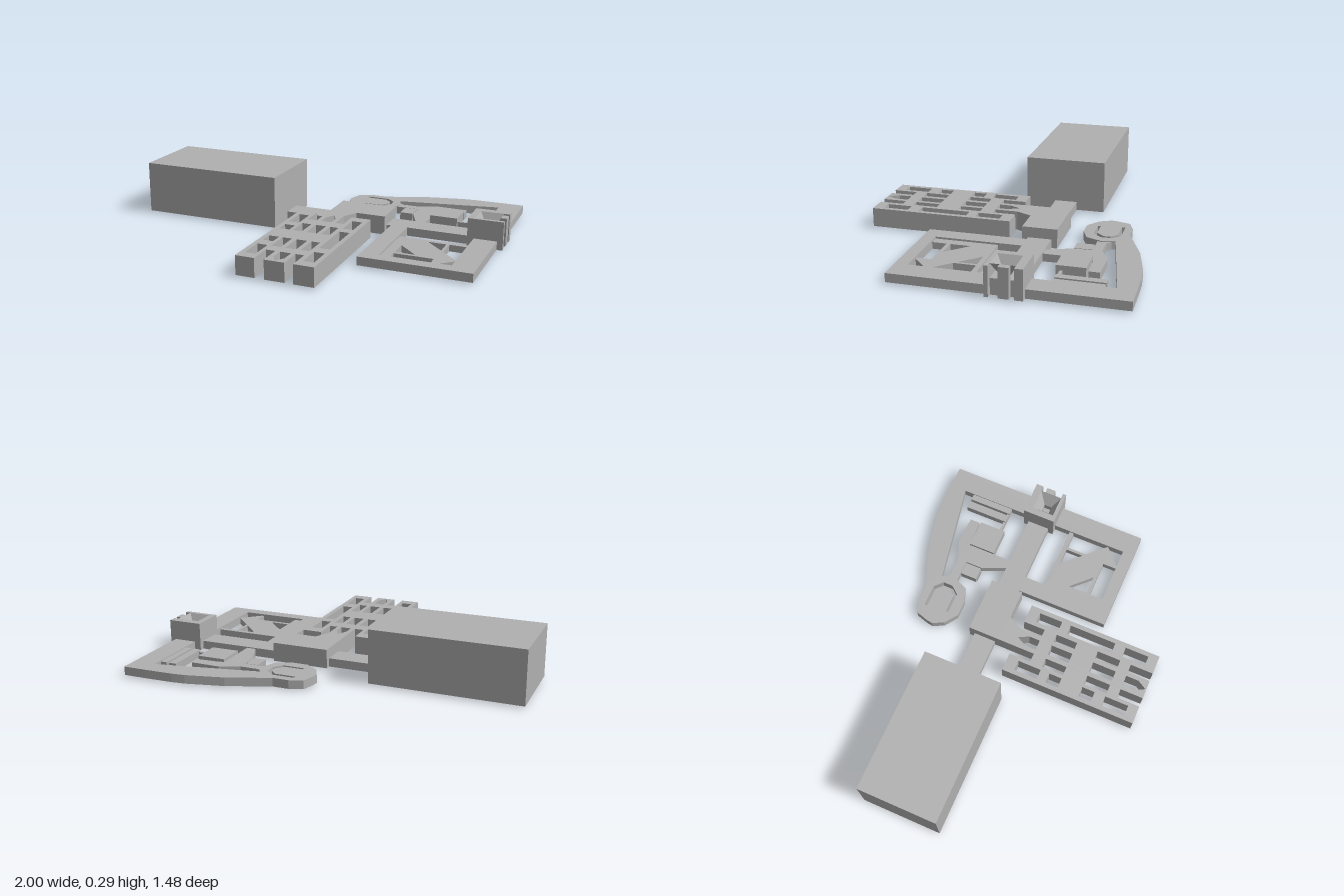
import * as THREE from 'three';

export function createModel() {
  const root = new THREE.Group();
  const grey = new THREE.MeshStandardMaterial({ color: 0xb0b0b0, side: THREE.DoubleSide });
  grey.name = 'plain grey';
  const LOW = 0.01, THIN = 0.055, TALL = 0.11;

  const add = (name, geo, parent = root) => {
    const m = new THREE.Mesh(geo, grey);
    m.name = name;
    parent.add(m);
    return m;
  };
  // Plan-view outlines are [x, z] pairs, raised from y0 to y1
  const plate = (name, pts, y0, y1, holes = [], parent = root) => {
    const v = (p) => p.map(([x, z]) => new THREE.Vector2(x, -z));
    const shape = new THREE.Shape(v(pts));
    shape.holes = holes.map((h) => new THREE.Path(v(h)));
    const geo = new THREE.ExtrudeGeometry(shape, { depth: y1 - y0, bevelEnabled: false });
    geo.rotateX(-Math.PI / 2).translate(0, y0, 0);
    return add(name, geo, parent);
  };
  const rect = (x0, x1, z0, z1) => [[x0, z0], [x1, z0], [x1, z1], [x0, z1]];
  const block = (name, x0, x1, z0, z1, y0, y1, parent = root) =>
    add(name, new THREE.BoxGeometry(x1 - x0, y1 - y0, z1 - z0)
      .translate((x0 + x1) / 2, (y0 + y1) / 2, (z0 + z1) / 2), parent);

  // Large block and the spine that carries everything
  block('mainBlock', -1, -0.215, -0.39, 0.04, LOW, 0.29);
  block('spineLeft', -0.215, 0.06, -0.24, -0.12, LOW, THIN);
  block('spineRight', 0.365, 0.81, -0.24, -0.12, LOW, THIN);
  block('hubBlock', 0.06, 0.365, -0.27, -0.09, LOW, TALL);
  plate('neck', [[0.06, -0.09], [0.205, -0.09], [0.165, -0.01], [0.06, -0.01]], LOW, TALL);

  // Three-rail ladder
  const ladder = new THREE.Group();
  ladder.name = 'ladder';
  root.add(ladder);
  const rail = (name, x0, x1, holes) => plate(name, rect(x0, x1, -0.01, 0.735), LOW, TALL, holes, ladder);
  rail('rightRail', -0.09, 0.01,
    [[0.05, 0.18], [0.23, 0.3], [0.42, 0.49], [0.55, 0.68]].map(([a, b]) => rect(-0.065, -0.01, a, b)));
  rail('leftRail', 0.21, 0.315,
    [[0.05, 0.18], [0.23, 0.49], [0.55, 0.68]].map(([a, b]) => rect(0.235, 0.29, a, b)));
  rail('middleRail', 0.06, 0.165, [
    [[0.085, 0.11], [0.085, 0.05], [0.113, -0.005], [0.142, 0.05], [0.142, 0.11]],
    rect(0.085, 0.142, 0.18, 0.3),
    rect(0.085, 0.142, 0.42, 0.55),
    [[0.085, 0.61], [0.142, 0.61], [0.142, 0.68], [0.113, 0.73], [0.085, 0.68]],
  ]);
  for (const [z0, z1] of [[0.11, 0.18], [0.3, 0.42], [0.55, 0.61]])
    for (const [x0, x1] of [[0.01, 0.06], [0.165, 0.21]])
      block('rung', x0, x1, z0, z1, LOW, TALL, ladder);

  // Front frame and long side bar
  block('frameInnerLeg', 0.39, 0.48, -0.12, 0.39, LOW, THIN);
  block('frameFrontBar', 0.48, 0.845, 0.325, 0.39, LOW, THIN);
  block('sideBar', 0.845, 0.965, -0.745, 0.39, LOW, THIN);

  // Arrow held inside the frame by thin ties
  const arrow = new THREE.Group();
  arrow.name = 'arrowPanel';
  root.add(arrow);
  plate('arrow', [[0.51, 0.025], [0.64, 0.025], [0.845, 0.235], [0.75, 0.325], [0.75, 0.23],
    [0.635, 0.23], [0.53, 0.125], [0.51, 0.125]], LOW, 0.045, [], arrow);
  block('tieSide', 0.48, 0.515, 0, 0.325, LOW, 0.045, arrow);
  block('tieBack', 0.515, 0.845, 0, 0.025, LOW, 0.045, arrow);
  block('tieLower', 0.515, 0.75, 0.23, 0.25, LOW, 0.045, arrow);
  block('tieLeft', 0.515, 0.53, 0.125, 0.325, LOW, 0.045, arrow);
  block('tieUpright', 0.735, 0.75, 0.025, 0.14, LOW, 0.045, arrow);
  block('tieFoot', 0.735, 0.75, 0.25, 0.325, LOW, 0.045, arrow);

  // Curved rear arm ending in a slotted pad
  plate('rearArm', [[0.2, -0.605], [0.42, -0.69], [0.53, -0.715], [0.62, -0.735], [0.69, -0.742],
    [0.845, -0.745], [0.845, -0.655], [0.3, -0.55], [0.275, -0.57]], LOW, THIN);
  plate('slottedPad', [[0.045, -0.58], [0.115, -0.605], [0.205, -0.605], [0.275, -0.57], [0.3, -0.55],
    [0.32, -0.485], [0.285, -0.4], [0.21, -0.37], [0.12, -0.37], [0.05, -0.42], [0.02, -0.48],
    [0.025, -0.515]], LOW, THIN,
  [[[0.105, -0.565], [0.225, -0.565], [0.268, -0.525], [0.268, -0.47], [0.23, -0.425], [0.115, -0.425],
    [0.115, -0.44], [0.215, -0.44], [0.25, -0.48], [0.25, -0.515], [0.215, -0.548], [0.105, -0.548]]]);

  // Branching link from the pad to the spine
  plate('linkBranch', [[0.285, -0.55], [0.33, -0.51], [0.43, -0.51], [0.53, -0.553], [0.69, -0.55],
    [0.69, -0.495], [0.565, -0.49], [0.54, -0.465], [0.54, -0.24], [0.49, -0.24], [0.435, -0.37],
    [0.435, -0.462], [0.31, -0.462]], LOW, 0.05);
  block('raisedPlate', 0.54, 0.69, -0.485, -0.34, LOW, 0.065);
  block('smallTab', 0.36, 0.43, -0.46, -0.37, LOW, 0.05);
  const foot = add('roundedFoot', new THREE.CylinderGeometry(0.04, 0.04, 0.06, 16, 1, false, 0, Math.PI));
  foot.geometry.rotateZ(-Math.PI / 2).scale(1, 0.25, 1);
  foot.position.set(0.395, 0.01, -0.405);
  block('thinTie', 0.69, 0.845, -0.375, -0.36, LOW, 0.04);
  block('ribOuter', 0.755, 0.795, -0.6, -0.36, LOW, 0.05);
  block('ribInner', 0.81, 0.845, -0.6, -0.36, LOW, 0.05);
  block('ribWeb', 0.795, 0.81, -0.6, -0.36, LOW, 0.025);

  // Socket: walls, slotted outer side, and a tapering mouth
  const socket = new THREE.Group();
  socket.name = 'socket';
  root.add(socket);
  plate('socketWalls', [[0.81, -0.27], [0.995, -0.27], [0.995, -0.23], [0.845, -0.23], [0.845, -0.11],
    [0.995, -0.11], [0.995, -0.09], [0.81, -0.09]], LOW, 0.16, [], socket);
  block('outerPost', 0.965, 0.995, -0.205, -0.155, LOW, 0.16, socket);
  const funnel = add('funnel', new THREE.CylinderGeometry(0.0849, 0.03, 0.07, 4, 1, true, Math.PI / 4)
    .toNonIndexed(), socket);
  funnel.geometry.computeVertexNormals();
  funnel.position.set(0.905, 0.125, -0.17);
  plate('socketCore', rect(0.845, 0.965, -0.23, -0.11), LOW, 0.09, [rect(0.884, 0.926, -0.191, -0.149)], socket);

  return root;
}
